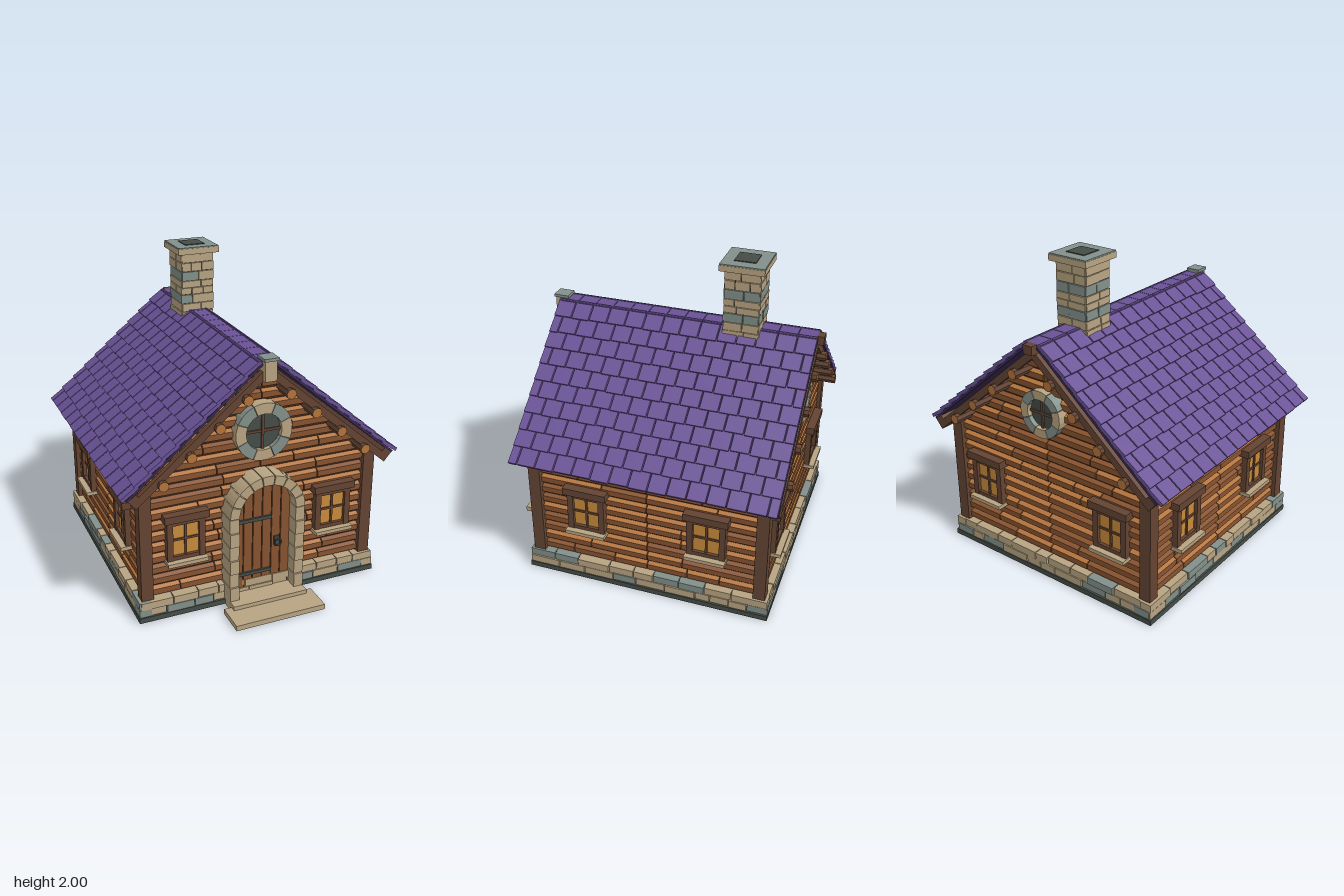
import * as THREE from 'three';

const mat = (name, color) => {
  const m = new THREE.MeshStandardMaterial({ color, flatShading: true });
  m.name = name;
  return m;
};
const M = {
  tan: mat('tan stone', 0xb8a482), gray: mat('gray stone', 0x83908a), slate: mat('dark slate', 0x454c47),
  tile: mat('purple tile', 0x6a5296), deck: mat('dark purple', 0x38294f),
  plank: mat('plank brown', 0x87532f), light: mat('light plank', 0xb4743c),
  beam: mat('beam brown', 0x644433), gap: mat('gap brown', 0x3f281b), glass: mat('amber glass', 0xc98b3a),
};
const ZC = -0.107, SLOPE = 0.705, ROOF_Y = 1.64; // house centre, roof pitch, roof apex

let seed = 7;
const rnd = () => (seed = (seed * 16807) % 2147483647) / 2147483647;

function add(parent, name, geo, material, x = 0, y = 0, z = 0) {
  const m = new THREE.Mesh(geo, material);
  m.name = name;
  m.position.set(x, y, z);
  parent.add(m);
  return m;
}
// box given by its limits
const box = (p, name, m, x0, x1, y0, y1, z0, z1) =>
  add(p, name, new THREE.BoxGeometry(x1 - x0, y1 - y0, z1 - z0), m, (x0 + x1) / 2, (y0 + y1) / 2, (z0 + z1) / 2);

function group(parent, name) {
  const g = new THREE.Group();
  g.name = name;
  parent.add(g);
  return g;
}
// cut a length into uneven pieces
function pieces(a, b, min, max) {
  const out = [];
  while (a < b - 1e-6) {
    let e = a + min + rnd() * (max - min);
    if (b - e < min) e = b;
    out.push([a, e]);
    a = e;
  }
  return out;
}
const extrude = (pts, depth) => new THREE.ExtrudeGeometry(
  new THREE.Shape(pts.map(([x, y]) => new THREE.Vector2(x, y))), { depth, bevelEnabled: false });

// ring of wedge stones around (0, cy)
function stoneRing(p, name, cy, r0, r1, a0, a1, n, z0, z1, mats) {
  for (let i = 0; i < n; i++) {
    const pts = [], s = (a1 - a0) / n, b = a0 + i * s + 0.012, e = a0 + (i + 1) * s - 0.012;
    for (let k = 0; k <= 3; k++) { const a = b + (e - b) * k / 3; pts.push([r1 * Math.cos(a), r1 * Math.sin(a)]); }
    for (let k = 3; k >= 0; k--) { const a = b + (e - b) * k / 3; pts.push([r0 * Math.cos(a), r0 * Math.sin(a)]); }
    add(p, name, extrude(pts, z1 - z0), mats[i % mats.length], 0, cy, z0);
  }
}

// plank with a sloping top face, trimmed to the gable
function plank(p, x0, x1, y0, y1, gable) {
  const g = new THREE.BoxGeometry(x1 - x0, y1 - y0, 0.045), a = g.attributes.position;
  g.translate((x0 + x1) / 2, (y0 + y1) / 2, -0.0225);
  for (let i = 0; i < a.count; i++) {
    let y = a.getY(i);
    if (a.getZ(i) > -0.01) y += y > (y0 + y1) / 2 ? -0.022 : 0.01;
    a.setY(i, y);
    if (gable) {
      const lim = Math.max(0.01, (1.53 - y) / 0.85);
      a.setX(i, THREE.MathUtils.clamp(a.getX(i), -lim, lim));
    }
  }
  g.computeVertexNormals();
  const top = rnd() < 0.65 ? M.light : M.plank;
  add(p, 'plank', g, [M.plank, M.plank, top, M.plank, M.plank, M.plank]);
}

function squareWindow(wall, x) {
  const w = group(wall, 'window');
  w.position.x = x;
  box(w, 'windowBacking', M.gap, -0.1, 0.1, 0.39, 0.625, -0.02, 0.006);
  box(w, 'windowGlass', M.glass, -0.085, 0.085, 0.4, 0.612, 0.006, 0.012);
  for (const s of [-1, 1]) box(w, 'windowJamb', M.beam, s * 0.102 - 0.019, s * 0.102 + 0.019, 0.375, 0.64, -0.02, 0.035);
  box(w, 'windowRail', M.beam, -0.085, 0.085, 0.375, 0.402, -0.02, 0.032);
  box(w, 'windowRail', M.beam, -0.085, 0.085, 0.608, 0.64, -0.02, 0.032);
  box(w, 'windowMuntin', M.beam, -0.007, 0.007, 0.4, 0.61, 0.01, 0.022);
  box(w, 'windowMuntin', M.beam, -0.085, 0.085, 0.5, 0.514, 0.01, 0.02);
  box(w, 'windowLintel', M.beam, -0.14, 0.14, 0.638, 0.685, -0.02, 0.055);
  box(w, 'windowSill', M.tan, -0.128, 0.128, 0.353, 0.377, -0.02, 0.07);
}

function roundWindow(wall, r) {
  const w = group(wall, 'roundWindow');
  stoneRing(w, 'roundWindowStone', 1.12, r * 0.63, r, Math.PI / 8, Math.PI * 17 / 8, 8, -0.03, 0.045, [M.gray, M.tan]);
  const disc = add(w, 'roundWindowGlass', new THREE.CylinderGeometry(r * 0.66, r * 0.66, 0.03, 24), M.slate, 0, 1.12, 0);
  disc.rotation.x = Math.PI / 2;
  box(w, 'roundWindowMuntin', M.beam, -0.008, 0.008, 1.12 - r * 0.63, 1.12 + r * 0.63, 0.01, 0.026);
  box(w, 'roundWindowMuntin', M.beam, -r * 0.63, r * 0.63, 1.112, 1.128, 0.01, 0.024);
}

// one wall, facing local +z, with its planks, footing stones and windows
function buildWall(root, name, angle, x, z, gable, winX) {
  const w = group(root, name);
  w.rotation.y = angle;
  w.position.set(x, 0, z);
  for (let r = 0; r < (gable ? 19 : 10); r++) {
    const y = 0.135 + r * 0.073, lim = gable ? Math.min(0.72, (1.53 - y) / 0.85) : 0.72;
    for (const [a, b] of [[-lim, 0], [0, lim]])
      for (const [s, e] of pieces(a, b, 0.2, 0.5)) plank(w, s + 0.003, e - 0.003, y + 0.003, y + 0.072, gable);
  }
  for (let r = 0; r < 2; r++)
    for (const [s, e] of pieces(-0.787, 0.787, 0.09, 0.22))
      box(w, 'footingStone', rnd() < 0.3 ? M.gray : M.tan, s + 0.003, e - 0.003,
        0.036 + r * 0.051, 0.084 + r * 0.051, -0.03, 0.036 + rnd() * 0.012);
  winX.forEach((u) => squareWindow(w, u));
  return w;
}

function buildDoor(wall) {
  const d = group(wall, 'door');
  const top = (x) => 0.62 + Math.sqrt(Math.max(0, 0.19 ** 2 - x * x));
  for (let i = 0; i < 6; i++) {
    const x0 = -0.186 + i * 0.062, pts = [[x0 + 0.003, 0.05], [x0 + 0.059, 0.05]];
    for (let k = 4; k >= 0; k--) { const x = x0 + 0.003 + 0.014 * k; pts.push([x, top(x)]); }
    add(d, 'doorPlank', extrude(pts, 0.04), M.plank);
  }
  box(d, 'doorBacking', M.gap, -0.18, 0.18, 0.05, 0.68, 0, 0.03);
  for (const y of [0.18, 0.55]) box(d, 'doorHinge', M.slate, -0.18, 0.06, y - 0.011, y + 0.011, 0.03, 0.052);
  box(d, 'doorLatch', M.slate, 0.08, 0.115, 0.345, 0.405, 0.03, 0.05);
  add(d, 'doorHandle', new THREE.TorusGeometry(0.022, 0.006, 6, 12), M.slate, 0.1, 0.365, 0.058);
  for (const s of [-1, 1])
    for (let i = 0; i < 6; i++) {
      const y = 0.06 + i * 0.0935, z = i % 2 ? 0.118 : 0.125;
      box(d, 'doorJambStone', M.tan, s * 0.216 - 0.03, s * 0.216 + 0.03, y, y + 0.09, -0.02, z);
    }
  stoneRing(d, 'doorArchStone', 0.62, 0.186, 0.246, 0, Math.PI, 9, -0.02, 0.122, [M.tan]);
  box(d, 'upperStep', M.tan, -0.246, 0.246, 0.03, 0.06, 0, 0.185);
  box(d, 'upperStepBase', M.tan, -0.246, 0.246, 0.0, 0.03, 0, 0.15);
  box(d, 'lowerStep', M.tan, -0.295, 0.295, 0, 0.034, 0.145, 0.335);
}

// one roof slope: local x runs down the slope, local y is its normal
function buildRoofSide(roof, turn) {
  const side = group(roof, 'roofSide');
  side.rotation.y = turn;
  const s = group(side, 'roofSlope');
  s.position.y = ROOF_Y;
  s.rotation.z = -SLOPE;
  const Z = 0.83, rows = 10, pitch = 0.109, n = 14, tw = 2 * Z / n;
  box(s, 'roofDeck', M.deck, 0.08, 1.165, -0.046, -0.03, -Z + 0.003, Z - 0.003);
  for (let r = 0; r < rows; r++)
    for (let i = 0; i <= n; i++) {
      const shift = r % 2 ? tw / 2 : 0;
      const z0 = Math.max(-Z, -Z + i * tw - shift), z1 = Math.min(Z, -Z + (i + 1) * tw - shift);
      if (z1 - z0 < 0.01) continue;
      const len = 0.122 + rnd() * 0.006;
      const t = box(s, 'roofTile', M.tile, 0.078 + r * pitch, 0.078 + r * pitch + len, -0.029, -0.007, z0 + 0.004, z1 - 0.004);
      t.rotation.z = 0.1;
    }
  for (const z of [-Z, Z - 0.035]) box(s, 'bargeBoard', M.beam, 0.09, 1.16, -0.118, -0.072, z, z + 0.035);
  box(s, 'eaveBeam', M.beam, 1.1, 1.16, -0.118, -0.046, -Z, Z);
  // log ends under the boards
  for (const x of [0.135, 0.305, 0.48, 0.65]) {
    const log = add(side, 'purlin', new THREE.CylinderGeometry(0.032, 0.032, 1.72, 8),
      [M.beam, M.light, M.light], x, 1.478 - 0.853 * x, 0);
    log.rotation.x = Math.PI / 2;
  }
}

function buildChimney(root) {
  const c = group(root, 'chimney');
  c.position.z = -0.48;
  box(c, 'chimneyCore', M.slate, -0.1, 0.1, 1.42, 1.95, -0.1, 0.1);
  const rows = [1.42, 1.5, 1.565, 1.62, 1.68, 1.725, 1.77, 1.832, 1.89, 1.95];
  for (let r = 0; r < rows.length - 1; r++)
    for (let q = 0; q < 4; q++) {
      const f = group(c, 'chimneyFace');
      f.rotation.y = q * Math.PI / 2;
      for (const [a, b] of pieces(-0.108, 0.108, 0.06, 0.14))
        box(f, 'chimneyStone', (r === 3 || r === 6) && rnd() < 0.85 ? M.gray : M.tan,
          a + 0.002, b - 0.002, rows[r] + 0.002, rows[r + 1] - 0.002, 0.08, 0.108 + rnd() * 0.006);
    }
  box(c, 'chimneyCap', M.tan, -0.138, 0.138, 1.95, 1.987, -0.138, 0.138);
  box(c, 'chimneyCapTop', M.gray, -0.136, 0.136, 1.987, 1.995, -0.136, 0.136);
  box(c, 'chimneyFlue', M.slate, -0.066, 0.066, 1.992, 2, -0.066, 0.066);
}

export function createModel() {
  const root = new THREE.Group();
  root.name = 'cottage';

  // base and inner body
  box(root, 'baseSlab', M.slate, -0.8, 0.8, 0, 0.034, ZC - 0.79, ZC + 0.79);
  box(root, 'footingCore', M.slate, -0.765, 0.765, 0.03, 0.132, ZC - 0.755, ZC + 0.755);
  add(root, 'innerBody', extrude([[-0.725, 0.1], [0.725, 0.1], [0.725, 0.9], [0, 1.51], [-0.725, 0.9]], 1.43),
    M.gap, 0, 0, ZC - 0.715);

  // walls
  const front = buildWall(root, 'frontWall', 0, 0, ZC + 0.742, true, [-0.49, 0.49]);
  const back = buildWall(root, 'backWall', Math.PI, 0, ZC - 0.742, true, [-0.49, 0.49]);
  buildWall(root, 'leftWall', Math.PI / 2, 0.75, ZC, false, [-0.387, 0.387]);
  buildWall(root, 'rightWall', -Math.PI / 2, -0.75, ZC, false, [-0.387, 0.387]);
  roundWindow(front, 0.182);
  roundWindow(back, 0.15);
  buildDoor(front);
  for (const x of [-0.738, 0.738])
    for (const z of [ZC - 0.727, ZC + 0.727])
      box(root, 'cornerPost', M.beam, x - 0.038, x + 0.038, 0.134, 0.88, z - 0.038, z + 0.038);

  // roof
  const roof = group(root, 'roof');
  roof.position.z = -0.107;
  buildRoofSide(roof, 0);
  buildRoofSide(roof, Math.PI);
  for (let i = 0; i < 14; i++) {
    const z = -0.825 + i * 0.1175;
    box(roof, 'ridgeCap', M.tile, -0.064, 0.064, 1.545, 1.575, z + 0.002, z + 0.1155);
  }
  box(roof, 'ridgeBeam', M.beam, -0.03, 0.03, 1.47, 1.548, -0.82, 0.8);
  box(root, 'ridgeBeamEnd', M.beam, -0.033, 0.033, 1.52, 1.575, -0.97, -0.92);
  box(root, 'keystone', M.tan, -0.037, 0.037, 1.46, 1.582, 0.67, 0.755);
  box(root, 'keystoneTop', M.gray, -0.046, 0.046, 1.582, 1.6, 0.665, 0.762);

  buildChimney(root);
  return root;
}
